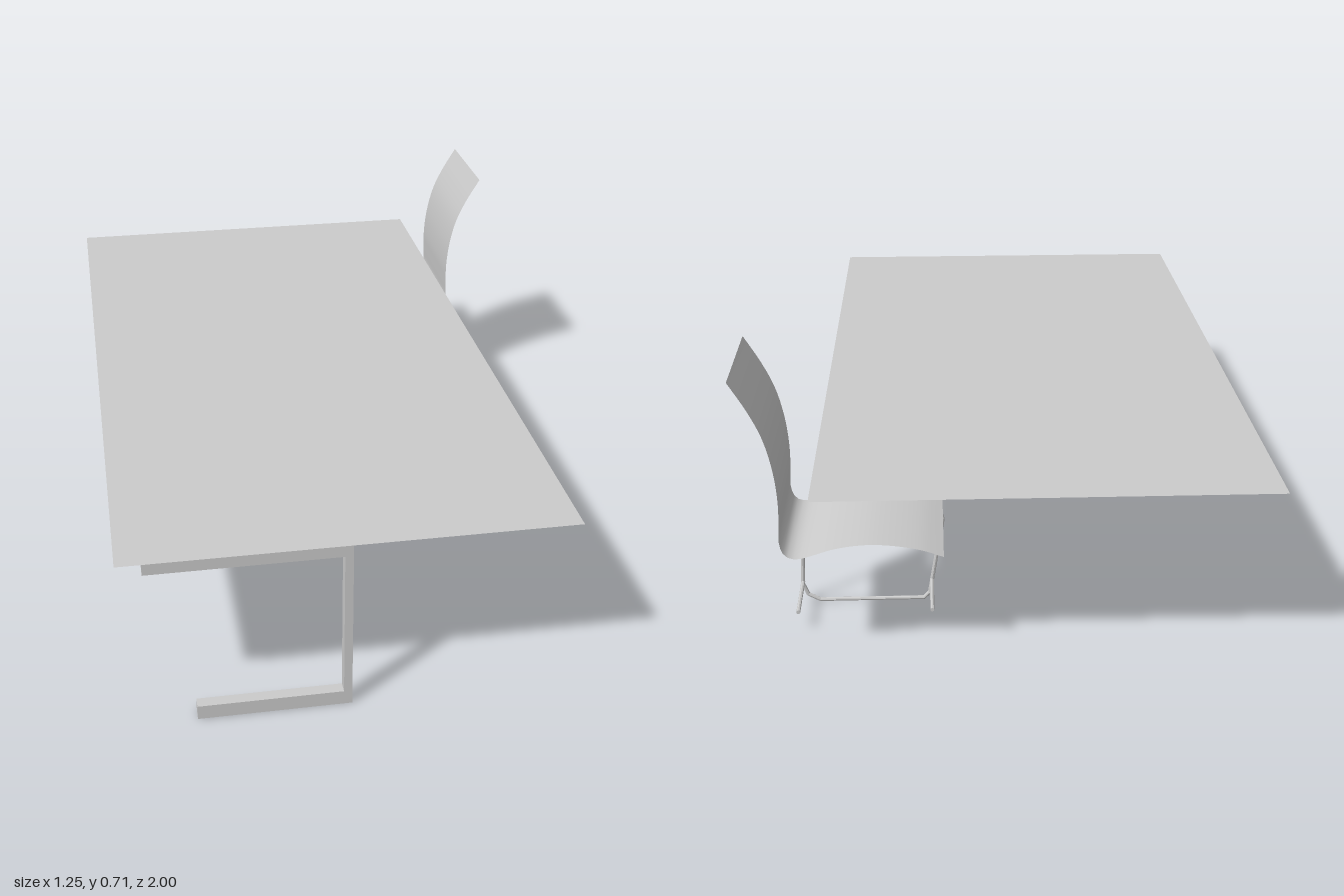
import * as THREE from 'three';

const material = new THREE.MeshStandardMaterial({ color: 0xcccccc });
const sheetMaterial = new THREE.MeshStandardMaterial({ color: 0xcccccc, side: THREE.DoubleSide });
const wireMaterial = new THREE.MeshStandardMaterial({ color: 0xcccccc, flatShading: true });

function addMesh(parent, name, geometry, mat) {
  const mesh = new THREE.Mesh(geometry, mat);
  mesh.name = name;
  parent.add(mesh);
  return mesh;
}

// Thin straight rod between two points
function addRod(parent, name, a, b, radius = 0.005) {
  const dir = b.clone().sub(a);
  const geometry = new THREE.CylinderGeometry(radius, radius, dir.length(), 8);
  const rod = addMesh(parent, name, geometry, wireMaterial);
  rod.position.copy(a).lerp(b, 0.5);
  rod.quaternion.setFromUnitVectors(new THREE.Vector3(0, 1, 0), dir.normalize());
}

function createTable() {
  const table = new THREE.Group();
  table.name = 'table';

  // Thin top sheet
  const top = addMesh(table, 'tableTop', new THREE.PlaneGeometry(1.075, 2), sheetMaterial);
  top.rotation.x = -Math.PI / 2;
  top.position.set(-0.0875, 0.45, 0);

  // C-shaped leg under one end
  const outline = [
    [-0.455, 0], [-0.087, 0], [-0.087, 0.447], [-0.565, 0.447],
    [-0.565, 0.415], [-0.107, 0.415], [-0.107, 0.036], [-0.455, 0.036],
  ].map(([x, y]) => new THREE.Vector2(x, y));
  const legGeometry = new THREE.ExtrudeGeometry(new THREE.Shape(outline), { depth: 0.03, bevelEnabled: false });
  addMesh(table, 'tableLeg', legGeometry, material).position.z = 0.96;
  return table;
}

function createChair() {
  const chair = new THREE.Group();
  chair.name = 'chair';
  const nearZ = -0.622, farZ = -0.942;

  // Seat and back: one curved sheet swept across the chair width
  const profile = new THREE.CatmullRomCurve3([
    [0.15, 0.279], [0.2, 0.297], [0.27, 0.31], [0.33, 0.313], [0.4, 0.304],
    [0.45, 0.289], [0.485, 0.28], [0.51, 0.287], [0.523, 0.312], [0.523, 0.36],
    [0.522, 0.42], [0.53, 0.5], [0.55, 0.58], [0.58, 0.645], [0.62, 0.712],
  ].map(([x, y]) => new THREE.Vector3(x, y, 0)));
  const steps = 56;
  const shell = new THREE.PlaneGeometry(1, 1, steps, 1);
  const position = shell.attributes.position;
  const points = profile.getSpacedPoints(steps);
  for (let i = 0; i <= steps; i++) {
    const { x, y } = points[i];
    position.setXYZ(i, x, y, farZ);
    position.setXYZ(i + steps + 1, x, y, nearZ);
  }
  shell.computeVertexNormals();
  addMesh(chair, 'seatAndBack', shell, sheetMaterial);

  // Closed wire loop below one side of the seat
  const loop = [
    [0.15, 0.225], [0.162, 0.262], [0.265, 0.289], [0.32, 0.297], [0.37, 0.292],
    [0.47, 0.266], [0.5, 0.24], [0.505, 0.05], [0.493, 0.021], [0.463, 0.005],
    [0.2, 0.005], [0.185, 0.02],
  ].map(([x, y]) => new THREE.Vector3(x, y, -0.625));
  loop.forEach((p, i) => {
    addRod(chair, 'frameRod', p, loop[(i + 1) % loop.length]);
    addMesh(chair, 'frameJoint', new THREE.SphereGeometry(0.005, 8, 6), wireMaterial).position.copy(p);
  });

  // Cross rods reaching to the middle of the seat
  for (const [x, y] of [[0.17, 0.266], [0.466, 0.268], [0.179, 0.055], [0.505, 0.055]]) {
    addRod(chair, 'crossRod', new THREE.Vector3(x, y, -0.62), new THREE.Vector3(x, y, -0.782));
  }
  return chair;
}

export function createModel() {
  const model = new THREE.Group();
  model.name = 'tableAndChair';
  model.add(createTable(), createChair());
  return model;
}
